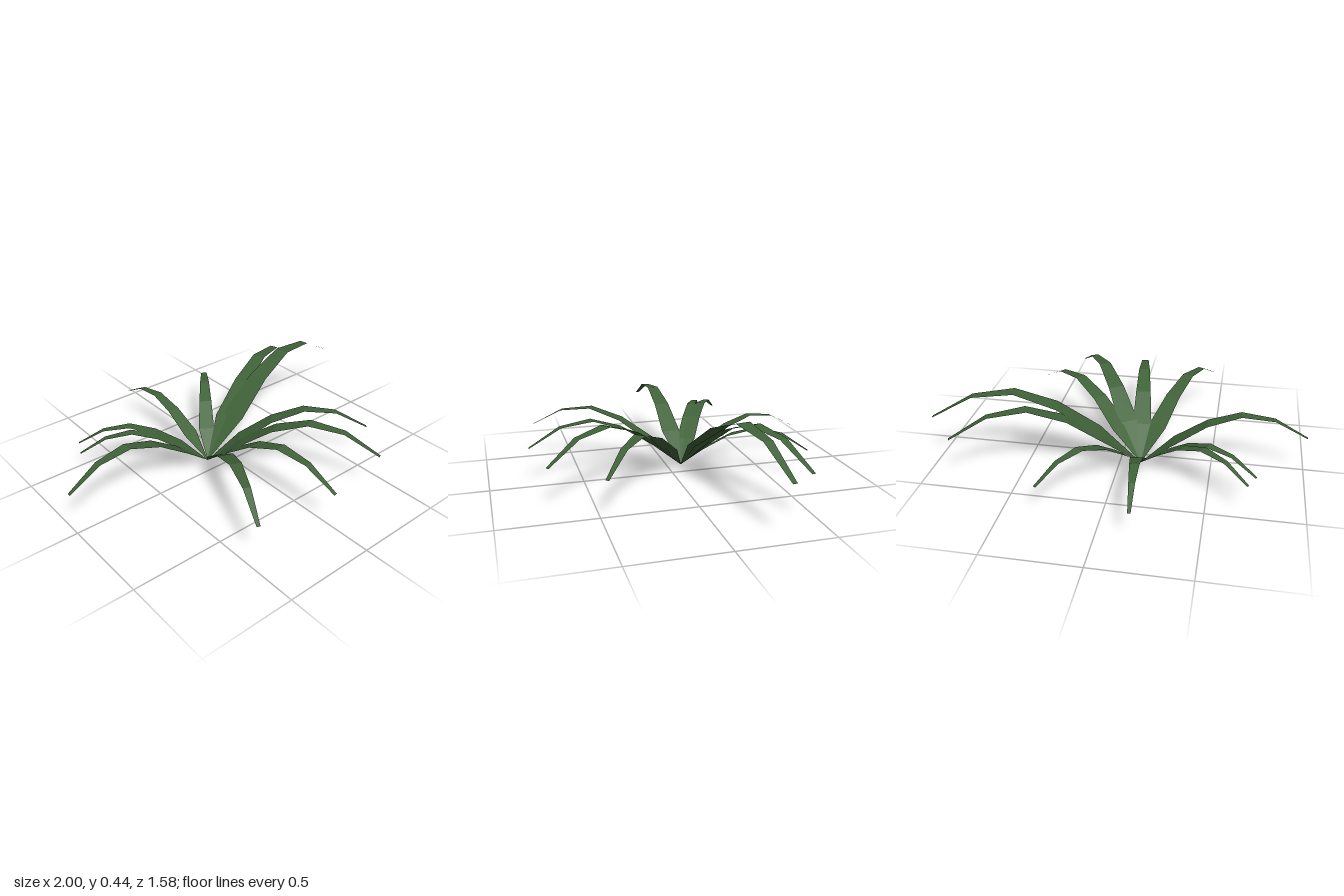
import * as THREE from 'three';

const BASE = { x: -0.115, z: -0.083 };

// Each leaf: tip x, tip z, height of the arch
const LEAVES = [
  [0.995, -0.272, 0.437], [0.84, -0.441, 0.392], [0.317, -0.668, 0.268],
  [-0.17, -0.79, 0.258], [-0.703, -0.471, 0.26], [-0.742, -0.384, 0.254],
  [-1.0, -0.035, 0.335], [-0.452, 0.722, 0.327], [-0.01, 0.785, 0.328],
  [0.38, 0.73, 0.361], [0.57, 0.475, 0.335],
];

// Stations along a leaf: height (share of arch) and half width (share of length)
const RISE = [0, 0.45, 0.81, 1, 0.94, 0.65];
const HALF = [0.001, 0.06, 0.048, 0.036, 0.023, 0.011];

function leafGeometry(tipX, tipZ, arch) {
  const dx = tipX - BASE.x, dz = tipZ - BASE.z;
  const pos = [], index = [];
  RISE.forEach((rise, i) => {
    const t = i / (RISE.length - 1);
    // sideways offset, level and square to the leaf's direction
    for (const s of [-1, 1]) {
      pos.push(dx * t - s * dz * HALF[i], rise * arch, dz * t + s * dx * HALF[i]);
    }
    if (i > 0) {
      const a = 2 * i - 2;
      index.push(a, a + 1, a + 2, a + 1, a + 3, a + 2);
    }
  });
  const geometry = new THREE.BufferGeometry();
  geometry.setAttribute('position', new THREE.Float32BufferAttribute(pos, 3));
  geometry.setIndex(index);
  geometry.computeVertexNormals();
  return geometry;
}

export function createModel() {
  const plant = new THREE.Group();
  plant.name = 'plant';
  const green = new THREE.MeshStandardMaterial({
    color: 0x3f6238, flatShading: true, side: THREE.DoubleSide,
  });

  // Rosette of arching leaves growing from one point
  LEAVES.forEach(([x, z, arch], i) => {
    const leaf = new THREE.Mesh(leafGeometry(x, z, arch), green);
    leaf.name = `leaf${i + 1}`;
    leaf.position.set(BASE.x, 0, BASE.z);
    plant.add(leaf);
  });
  return plant;
}
